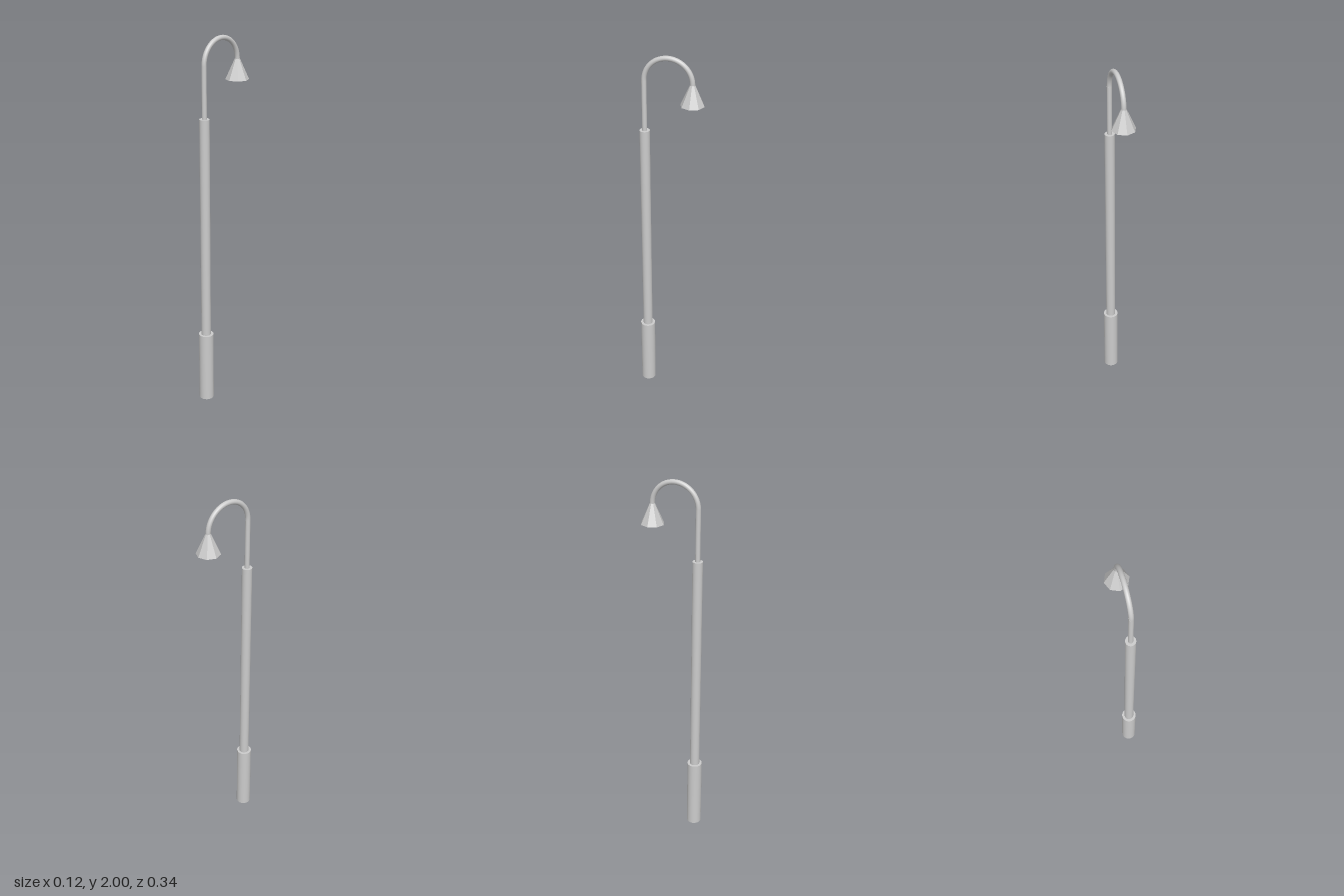
import * as THREE from 'three';

const POLE_Z = 0.13, LAMP_Z = -0.112;
const PIPE_R = 0.0125;
const ARC_R = (POLE_Z - LAMP_Z) / 2, ARC_Z = (POLE_Z + LAMP_Z) / 2;
const ARC_Y = 2 - PIPE_R - ARC_R;

export function createModel() {
  const group = new THREE.Group();
  const smooth = new THREE.MeshStandardMaterial({ color: 0xcccccc });
  const faceted = new THREE.MeshStandardMaterial({ color: 0xcccccc, flatShading: true, side: THREE.DoubleSide });

  function add(name, geometry, material, y, z) {
    const mesh = new THREE.Mesh(geometry, material);
    mesh.name = name;
    mesh.position.set(0, y, z);
    group.add(mesh);
  }

  // upright cylinder on the pole axis, from y0 to y1
  function upright(name, radius, y0, y1) {
    add(name, new THREE.CylinderGeometry(radius, radius, y1 - y0, 32), smooth, (y0 + y1) / 2, POLE_Z);
  }

  // stepped post
  upright('base', 0.04, 0, 0.4);
  upright('pole', 0.026, 0.4, 1.605);
  upright('upperPipe', PIPE_R, 1.605, ARC_Y);

  // half-circle bend from the pipe over to the lamp
  const bend = new THREE.TorusGeometry(ARC_R, PIPE_R, 16, 32, Math.PI);
  bend.rotateY(Math.PI / 2);
  add('curvedArm', bend, smooth, ARC_Y, ARC_Z);

  // eight-sided hollow shade with a thin rim, open at the bottom
  const profile = [
    [0, 0.092], [0.008, 0.092], [0.054, 0], [0.06, 0], [PIPE_R, 0.105], [0, 0.105],
  ].map(([r, y]) => new THREE.Vector2(r, y));
  add('lampShade', new THREE.LatheGeometry(profile, 8), faceted, 1.765, LAMP_Z);

  return group;
}
